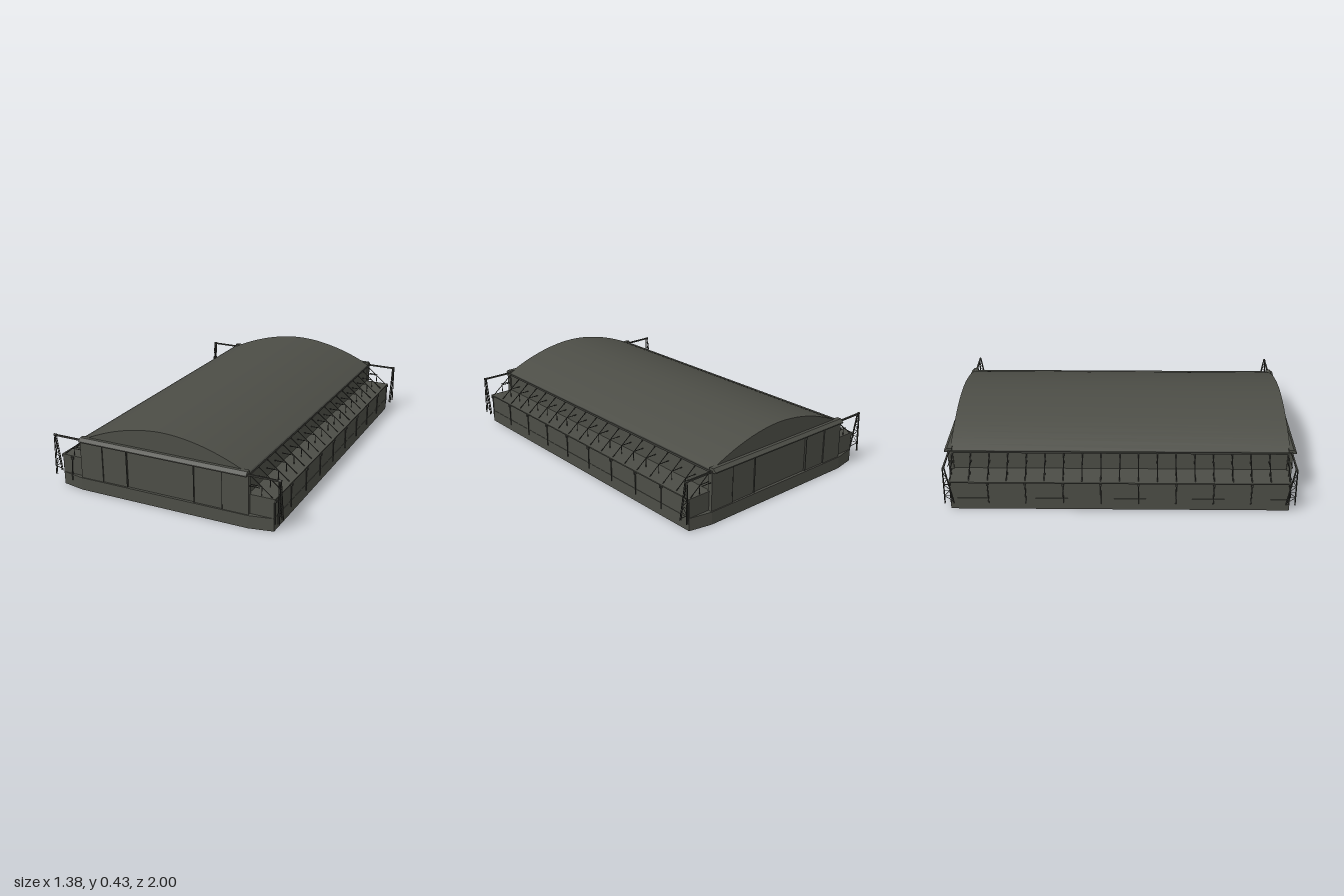
import * as THREE from 'three';

const wall = new THREE.MeshStandardMaterial({ color: 0x4c4d46 });
wall.name = 'olive grey cladding';
const steel = new THREE.MeshStandardMaterial({ color: 0x3c3d38 });
steel.name = 'dark steel';

function add(parent, name, geometry, material) {
  const mesh = new THREE.Mesh(geometry, material);
  mesh.name = name;
  parent.add(mesh);
  return mesh;
}

// Box given by its two opposite corners
function block(parent, name, a, b, material = wall) {
  const size = a.map((v, i) => Math.abs(b[i] - v));
  const mesh = add(parent, name, new THREE.BoxGeometry(...size), material);
  mesh.position.set(...a.map((v, i) => (v + b[i]) / 2));
  return mesh;
}

// Straight square or round bar between two points
function bar(parent, name, a, b, thickness = 0.005, sides = 4) {
  const start = new THREE.Vector3(...a), end = new THREE.Vector3(...b);
  const dir = end.clone().sub(start);
  const geometry = new THREE.CylinderGeometry(thickness / 2, thickness / 2, dir.length(), sides);
  const mesh = add(parent, name, geometry, steel);
  mesh.position.copy(start).add(end).multiplyScalar(0.5);
  mesh.quaternion.setFromUnitVectors(new THREE.Vector3(0, 1, 0), dir.normalize());
  return mesh;
}

function polygon(points) {
  return new THREE.Shape(points.map(([x, y]) => new THREE.Vector2(x, y)));
}

// Curved roof with closed gable ends
function addRoof(hangar) {
  const arch = [];
  for (let i = 0; i <= 24; i++) {
    const t = i / 12 - 1;
    arch.push(new THREE.Vector2(-0.503 * t, 0.297 + 0.132 * (1 - Math.abs(t) ** 1.9)));
  }
  const half = 0.965;
  const gable = new THREE.ExtrudeGeometry(new THREE.Shape(arch), { depth: 2 * half - 0.002, bevelEnabled: false });
  gable.translate(0, -0.001, -half + 0.001);
  add(hangar, 'gableEnds', gable, wall);

  const skin = new THREE.PlaneGeometry(1, 2 * half, 24, 1);
  skin.rotateX(-Math.PI / 2);
  const p = skin.attributes.position;
  for (let i = 0; i < p.count; i++) {
    const t = p.getX(i) * 2;
    p.setXYZ(i, 0.503 * t, 0.298 + 0.132 * (1 - Math.abs(t) ** 1.9), p.getZ(i));
  }
  skin.computeVertexNormals();
  add(hangar, 'archedRoof', skin, wall);
}

// Door wall, header and end gantry; s = +1 front, -1 back
function addEnd(hangar, s) {
  const end = new THREE.Group();
  end.name = s > 0 ? 'frontEnd' : 'backEnd';
  hangar.add(end);

  const seams = [-0.51, -0.37, -0.215, 0.195, 0.36, 0.51];
  const layers = [0.98, 0.975, 0.97, 0.975, 0.98];
  layers.forEach((z, i) => {
    block(end, 'slidingDoor', [seams[i], 0.07, s * 0.95], [seams[i + 1], 0.292, s * z]);
    if (i > 0) block(end, 'doorSeam', [seams[i] - 0.002, 0.075, s * 0.97], [seams[i] + 0.002, 0.29, s * 0.981], steel);
  });

  // Header with a sloped front edge
  const profile = [[0.955, 0.288], [1, 0.292], [1, 0.298], [0.982, 0.315], [0.955, 0.315]];
  const header = new THREE.ExtrudeGeometry(polygon(profile), { depth: 1.01, bevelEnabled: false });
  header.translate(0, 0, -0.505);
  header.rotateY(-Math.PI / 2);
  if (s < 0) header.rotateY(Math.PI);
  add(end, 'doorHeader', header, wall);

  for (const x of [-1, 1]) {
    // Beam carrying the open doors
    block(end, 'gantryBeam', [x * 0.49, 0.291, s * 0.968], [x * 0.684, 0.3, s * 0.977], steel);
    bar(end, 'gantryBrace', [x * 0.51, 0.235, s * 0.972], [x * 0.57, 0.235, s * 0.972]);

    // Lattice pylon
    const px = x * 0.68;
    const foot = (t) => [px, 0.298 - 0.236 * t, s * (0.968 - 0.036 * t)];
    const outer = (t) => [px, 0.298 - 0.236 * t, s * (0.976 + 0.007 * t)];
    for (const dx of [-0.004, 0.004]) {
      const shift = ([a, b, c]) => [a + dx, b, c];
      bar(end, 'pylonLeg', shift(foot(0)), shift(foot(1)), 0.006);
      bar(end, 'pylonLeg', shift(outer(0)), shift(outer(1)), 0.006);
    }
    for (let i = 0; i < 5; i++) {
      const t = 0.15 + i * 0.16;
      bar(end, 'pylonRung', foot(t), outer(t), 0.004);
      bar(end, 'pylonDiagonal', i % 2 ? foot(t) : outer(t), i % 2 ? outer(t + 0.16) : foot(t + 0.16), 0.004);
    }
    const cap = add(end, 'pylonCap', new THREE.CylinderGeometry(0.007, 0.007, 0.016, 8), steel);
    cap.rotation.z = Math.PI / 2;
    cap.position.set(px, 0.297, s * 0.972);
  }
}

// Lower side building with its buttress frames; s = +1 left, -1 right
function addAnnex(hangar, s) {
  const annex = new THREE.Group();
  annex.name = s > 0 ? 'leftAnnex' : 'rightAnnex';
  hangar.add(annex);

  block(annex, 'annexWall', [s * 0.49, 0.07, -0.96], [s * 0.643, 0.177, 0.96]);
  block(annex, 'annexRoof', [s * 0.49, 0.176, -0.962], [s * 0.65, 0.183, 0.962]);
  block(annex, 'mainEave', [s * 0.495, 0.288, -0.965], [s * 0.51, 0.3, 0.965], steel);

  for (let i = 0; i < 19; i++) {
    const z = -0.955 + i * 0.106;
    bar(annex, 'buttressStrut', [s * 0.503, 0.288, z], [s * 0.634, 0.183, z], 0.006);
    bar(annex, 'buttressPost', [s * 0.572, 0.18, z], [s * 0.572, 0.235, z]);
    bar(annex, 'buttressTie', [s * 0.503, 0.235, z], [s * 0.572, 0.235, z]);

    // Rainwater pipe at every second frame
    if (i % 2 === 0) {
      bar(annex, 'downpipe', [s * 0.647, 0.04, z], [s * 0.647, 0.172, z], 0.006, 6);
      block(annex, 'pipeHopper', [s * 0.642, 0.163, z - 0.006], [s * 0.655, 0.177, z + 0.006], steel);
    }
  }
}

export function createModel() {
  const hangar = new THREE.Group();
  hangar.name = 'hangar';

  // Plinth with tapered corners
  const outline = [
    [-0.51, -0.986], [0.51, -0.986], [0.645, -0.96], [0.645, 0.96],
    [0.51, 0.986], [-0.51, 0.986], [-0.645, 0.96], [-0.645, -0.96],
  ];
  const plinth = new THREE.ExtrudeGeometry(polygon(outline), { depth: 0.073, bevelEnabled: false });
  plinth.rotateX(-Math.PI / 2);
  add(hangar, 'plinth', plinth, wall);

  block(hangar, 'mainHall', [-0.502, 0.07, -0.96], [0.502, 0.298, 0.96]);
  addRoof(hangar);
  for (const s of [1, -1]) {
    addEnd(hangar, s);
    addAnnex(hangar, s);
  }

  // Pipe on the front wall
  bar(hangar, 'frontDownpipe', [-0.58, 0.04, 0.976], [-0.58, 0.172, 0.964], 0.006, 6);
  block(hangar, 'frontHopper', [-0.587, 0.163, 0.958], [-0.573, 0.177, 0.97], steel);
  return hangar;
}
